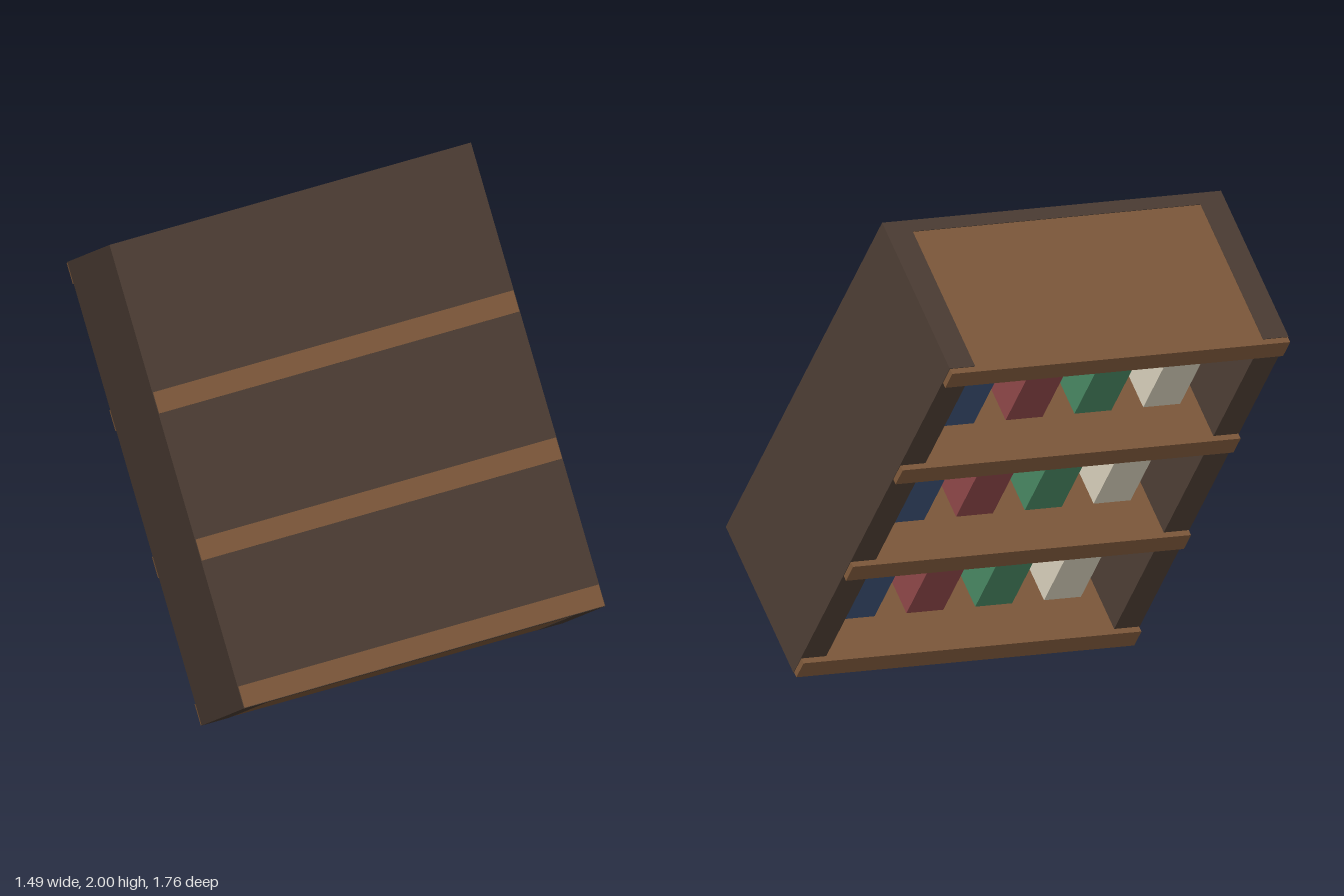
import * as THREE from 'three';

const mat = (name, color) => {
  const m = new THREE.MeshStandardMaterial({ color });
  m.name = name;
  return m;
};

export function createModel() {
  const frame = mat('dark brown frame', 0x4b3c33);
  const wood = mat('shelf wood', 0x7d583a);
  const covers = [
    mat('blue cover', 0x3a4f72),
    mat('red cover', 0x8b4547),
    mat('green cover', 0x468460),
    mat('cream cover', 0xd2cab6),
  ];

  const W = 1.33, H = 1.66, D = 0.65; // case size; open side faces local -z, back sits at z = 0
  const bookcase = new THREE.Group();
  bookcase.name = 'bookcase';

  // box given by its extents along x, y and z
  const box = (name, material, [x0, x1], [y0, y1], [z0, z1]) => {
    const mesh = new THREE.Mesh(new THREE.BoxGeometry(x1 - x0, y1 - y0, z1 - z0), material);
    mesh.position.set((x0 + x1) / 2, (y0 + y1) / 2, (z0 + z1) / 2);
    mesh.name = name;
    bookcase.add(mesh);
  };

  // side and back panels
  const side = 0.1, back = 0.05;
  box('leftSide', frame, [W / 2 - side, W / 2], [0, H], [-D, 0]);
  box('rightSide', frame, [-W / 2, -W / 2 + side], [0, H], [-D, 0]);
  box('backPanel', frame, [-W / 2 + side, W / 2 - side], [0, H], [-back, 0]);

  // four boards with a small lip in front; the lower three show through the back
  const thick = 0.08, step = (H - thick) / 3;
  for (let i = 0; i < 4; i++) {
    const y = i * step;
    const rear = i < 3 ? 0.002 : -0.002;
    box('shelfBoard', wood, [-W / 2 + 0.002, W / 2 - 0.002],
      [y + 0.002, y + thick - 0.002], [-D - 0.022, rear]);
  }

  // one row of four books in each compartment
  const bookW = 0.145, bookH = 0.395, pitch = 0.27;
  for (let row = 0; row < 3; row++) {
    const mid = row * step + (thick + step) / 2;
    covers.forEach((cover, i) => {
      const x = (1.5 - i) * pitch;
      box('book', cover, [x - bookW / 2, x + bookW / 2],
        [mid - bookH / 2, mid + bookH / 2], [-0.52, -0.12]);
    });
  }

  // the whole case is tipped and turned
  const tilt = THREE.MathUtils.degToRad(-25);
  bookcase.rotation.set(tilt, tilt, 0);
  bookcase.position.set(-0.143, 0.376, 0.625);

  const model = new THREE.Group();
  model.name = 'tiltedBookcase';
  model.add(bookcase);
  return model;
}
